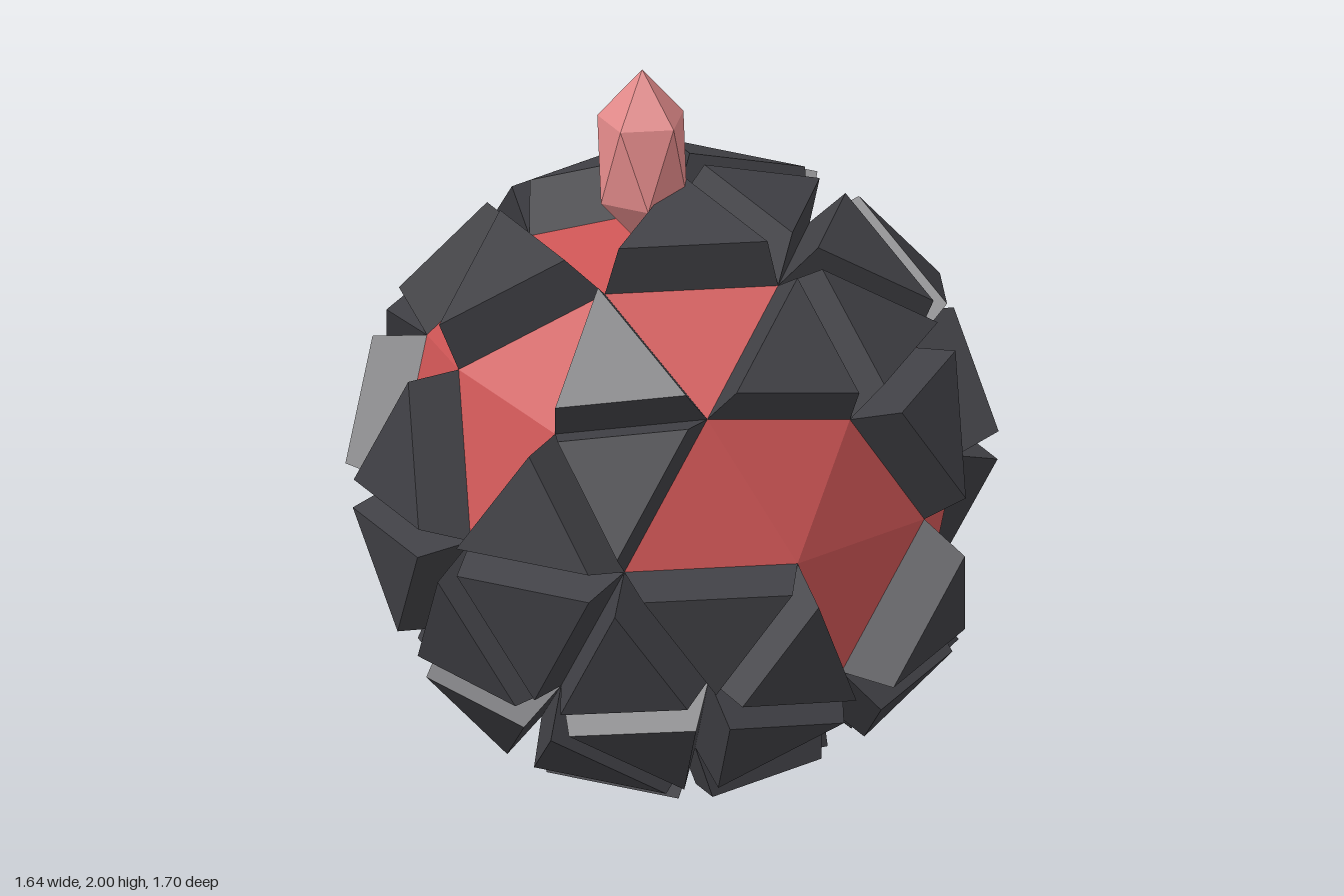
import * as THREE from 'three';

const RADIUS = 0.73;   // inner ball
const CENTRE_Y = 0.853;
const HEIGHT = 0.14;   // plate thickness
const TAPER = 0.86;    // outer face of a plate relative to its base

// Faces of the ball left bare (all others carry a raised plate)
const BARE = [
  'T A1 A2', 'A0 A1 B0', 'A1 B1 U1', 'A2 B1 U2', 'A3 B2 U3', 'A4 B3 U4', 'S D1 D2',
  'B1 U2 E3', 'B1 U1 E2', 'B0 U0 E0', 'B0 E0 E1', 'U0 E9 E0', 'C0 E9 E0',
  'B4 U4 E8', 'B4 E8 E9', 'L4 E8 E9', 'L4 C4 E8', 'C0 D4 D0',
  'C2 E3 E4', 'L1 C2 E3', 'L1 D1 C2',
  'B3 U4 E7', 'B3 E6 E7', 'L3 E6 E7', 'L3 C4 E7', 'C3 E5 E6', 'L3 C3 E6', 'L3 C3 D3',
];
const key = (names) => [...names].sort().join(' ');

// Named points of a once-divided icosahedron, listed ring by ring from the top
function ballPoints() {
  const points = {
    T: new THREE.Vector3(0, RADIUS, 0),
    S: new THREE.Vector3(0, -RADIUS, 0),
  };
  const ring = (name, count, y, startDeg) => {
    const r = Math.sqrt(1 - y * y);
    for (let i = 0; i < count; i++) {
      const a = THREE.MathUtils.degToRad(startDeg + (360 / count) * i);
      points[name + i] = new THREE.Vector3(Math.cos(a) * r, y, Math.sin(a) * r).multiplyScalar(RADIUS);
    }
  };
  ring('A', 5, 0.8507, 0);
  ring('B', 5, 0.5257, 36);
  ring('U', 5, 0.4472, 0);
  ring('E', 10, 0, 18);
  ring('L', 5, -0.4472, 36);
  ring('C', 5, -0.5257, 0);
  ring('D', 5, -0.8507, 36);
  return points;
}

// The sixteen triangles of each of the five sectors
function ballFaces() {
  const faces = [];
  for (let k = 0; k < 5; k++) {
    const n = (k + 1) % 5, p = (k + 4) % 5;
    const e0 = 'E' + ((2 * k + 9) % 10), e1 = 'E' + (2 * k), e2 = 'E' + (2 * k + 1);
    const A = 'A' + k, B = 'B' + k, U = 'U' + k, L = 'L' + k, C = 'C' + k, D = 'D' + k;
    const An = 'A' + n, Un = 'U' + n, Bp = 'B' + p, Lp = 'L' + p, Dp = 'D' + p;
    faces.push(
      ['T', A, An], [A, An, B], [A, U, B], [A, U, Bp],
      [U, B, e1], [B, Un, e2], [B, e1, e2], [L, e1, e2],
      [U, e0, e1], [C, e0, e1], [Lp, C, e0], [L, C, e1],
      [L, D, C], [Lp, Dp, C], [C, Dp, D], ['S', Dp, D],
    );
  }
  return faces;
}

function flatGeometry(corners) {
  const geometry = new THREE.BufferGeometry().setFromPoints(corners);
  geometry.computeVertexNormals();
  return geometry;
}

// Tapered plate standing on a triangle
function addPlate(out, base) {
  const [a, b, c] = base;
  const mid = a.clone().add(b).add(c).divideScalar(3);
  const lift = mid.clone().normalize();
  new THREE.Triangle(a, b, c).getNormal(lift);
  const top = base.map((v) => v.clone().lerp(mid, 1 - TAPER).addScaledVector(lift, HEIGHT));
  out.push(...top);
  for (let i = 0; i < 3; i++) {
    const j = (i + 1) % 3;
    out.push(base[i], base[j], top[j], base[i], top[j], top[i]);
  }
}

export function createModel() {
  const charcoal = new THREE.MeshStandardMaterial({ color: 0x404045 });
  charcoal.name = 'charcoal';
  const red = new THREE.MeshStandardMaterial({ color: 0xcb5454 });
  red.name = 'red';
  const pink = new THREE.MeshStandardMaterial({ color: 0xe28a8a });
  pink.name = 'pink';

  const model = new THREE.Group();
  model.name = 'platedBall';
  const add = (name, geometry, material, x, y, z) => {
    const mesh = new THREE.Mesh(geometry, material);
    mesh.name = name;
    mesh.position.set(x, y, z);
    model.add(mesh);
    return mesh;
  };

  // Bare ball faces and raised plates
  const points = ballPoints();
  const bare = new Set(BARE.map((s) => key(s.split(' '))));
  const coreCorners = [], plateCorners = [];
  for (const names of ballFaces()) {
    const tri = names.map((n) => points[n]);
    const normal = new THREE.Triangle(...tri).getNormal(new THREE.Vector3());
    if (normal.dot(tri[0]) < 0) tri.reverse();
    if (bare.has(key(names))) coreCorners.push(...tri);
    else addPlate(plateCorners, tri);
  }
  add('core', flatGeometry(coreCorners), red, 0, CENTRE_Y, 0);
  add('plates', flatGeometry(plateCorners), charcoal, 0, CENTRE_Y, 0);

  // Crystal on top: a tall icosahedron, points up and down
  const ring = (y, r, start) => Array.from({ length: 5 }, (_, i) => {
    const a = start + (i * Math.PI * 2) / 5;
    return new THREE.Vector3(Math.cos(a) * r, y, Math.sin(a) * r);
  });
  const tip = new THREE.Vector3(0, 0.244, 0), foot = new THREE.Vector3(0, -0.244, 0);
  const upper = ring(0.109, 0.118, 0), lower = ring(-0.109, 0.118, Math.PI / 5);
  const crystal = [];
  for (let i = 0; i < 5; i++) {
    const j = (i + 1) % 5;
    crystal.push(tip, upper[j], upper[i], upper[i], upper[j], lower[i]);
    crystal.push(upper[j], lower[j], lower[i], foot, lower[i], lower[j]);
  }
  add('crystal', flatGeometry(crystal), pink, 0.006, 1.756, 0.125);

  return model;
}
